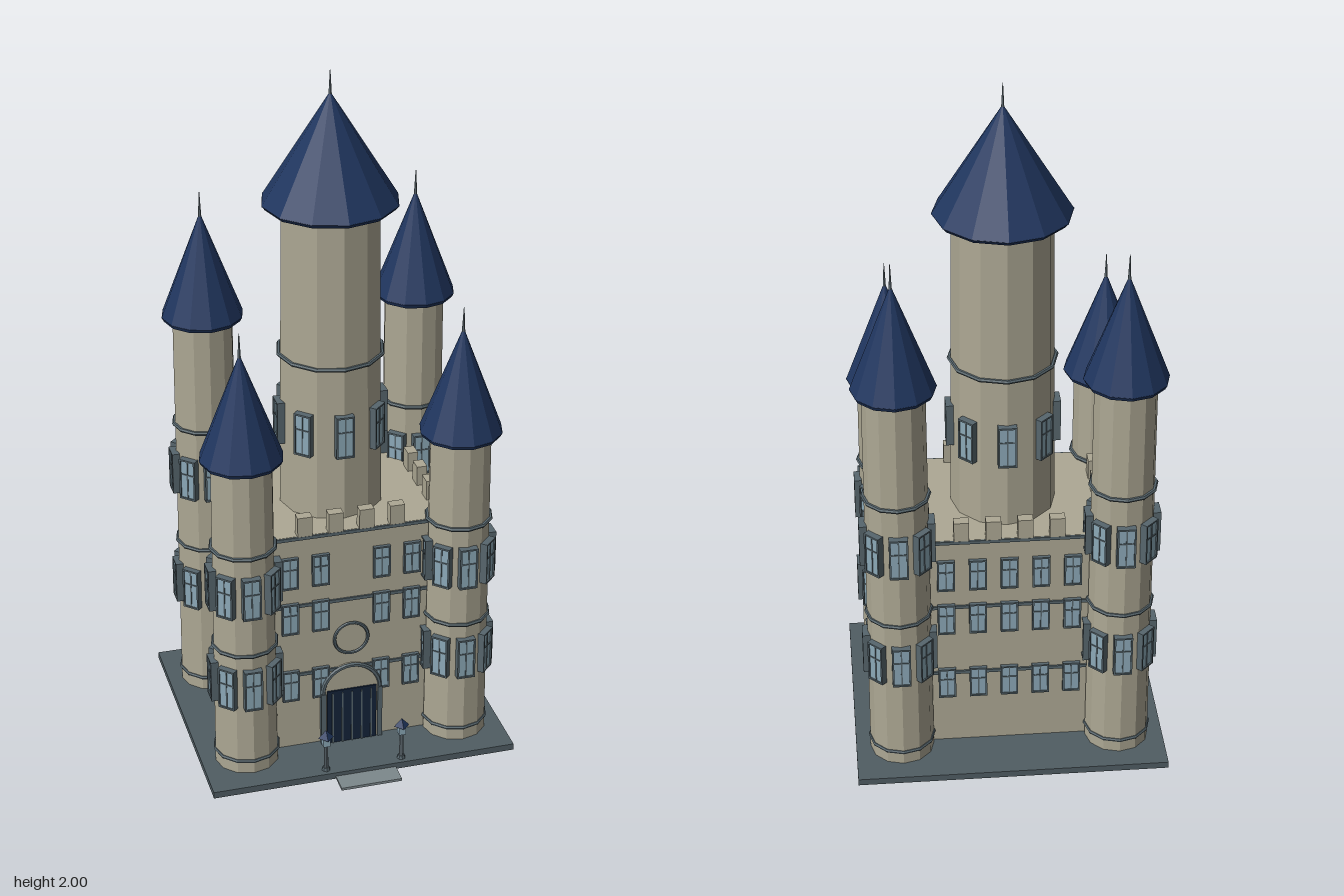
import * as THREE from 'three';

const mat = (color, flatShading = true) => new THREE.MeshStandardMaterial({ color, flatShading });
const STONE = mat(0xada894), ROOF = mat(0x20365f), TRIM = mat(0x57666d), GLASS = mat(0x8ca9b8);
const SLAB = mat(0x505d63), PATH = mat(0x7d888c), DOOR = mat(0x13233a), METAL = mat(0x6b7880);
const SIDES = 12, MID_Z = -0.032;

function add(parent, name, geometry, material, x = 0, y = 0, z = 0) {
  const mesh = new THREE.Mesh(geometry, material);
  mesh.name = name;
  mesh.position.set(x, y, z);
  parent.add(mesh);
  return mesh;
}
const box = (w, h, d) => new THREE.BoxGeometry(w, h, d);

// Framed window with a vertical and a horizontal glazing bar, facing +z
function makeWindow(w, h) {
  const g = new THREE.Group();
  g.name = 'window';
  const t = 0.005;
  add(g, 'glass', box(w - t, h - t, 0.014), GLASS);
  for (const s of [-1, 1]) {
    add(g, 'frameSide', box(t, h, 0.022), TRIM, s * (w - t) / 2);
    add(g, 'frameEnd', box(w, t, 0.022), TRIM, 0, s * (h - t) / 2);
  }
  add(g, 'mullion', box(0.004, h, 0.018), TRIM);
  add(g, 'transom', box(w, 0.004, 0.018), TRIM, 0, h * 0.12);
  return g;
}

function windowRing(parent, y, r) {
  for (let i = 0; i < 8; i++) {
    const a = i * Math.PI / 4, win = makeWindow(0.053, 0.128);
    win.position.set(Math.sin(a) * r, y, Math.cos(a) * r);
    win.rotation.y = a;
    parent.add(win);
  }
}

function band(parent, y, r) {
  const ring = add(parent, 'band', new THREE.TorusGeometry(r, 0.006, 6, SIDES), TRIM, 0, y, 0);
  ring.rotation.x = Math.PI / 2;
}

// Conical roof with thin eave and a finial spike
function roof(parent, y, r, h) {
  add(parent, 'roof', new THREE.ConeGeometry(r, h, SIDES), ROOF, 0, y + h / 2, 0);
  add(parent, 'eave', new THREE.CylinderGeometry(r, r * 0.95, 0.012, SIDES), ROOF, 0, y - 0.005, 0);
  add(parent, 'finial', new THREE.CylinderGeometry(0.001, 0.005, 0.075, 6), METAL, 0, y + h + 0.0225, 0);
}

function cornerTower(x, z, top) {
  const g = new THREE.Group();
  g.name = 'cornerTower';
  g.position.set(x, 0, z);
  const h = top - 0.02;
  add(g, 'shaft', new THREE.CylinderGeometry(0.087, 0.093, h, SIDES), STONE, 0, 0.02 + h / 2, 0);
  for (const y of [0.06, 0.02 + h * 0.4, 0.02 + h * 0.72]) band(g, y, 0.092);
  for (const f of [0.29, 0.595]) windowRing(g, 0.02 + h * f, 0.095);
  roof(g, top, 0.118, 0.31);
  return g;
}

function keep() {
  const g = new THREE.Group();
  g.name = 'keep';
  const w = 0.55, d = 0.434, zf = d / 2;
  g.position.z = MID_Z;
  add(g, 'walls', box(w, 0.70, d), STONE, 0, 0.37, 0);
  for (const y of [0.27, 0.5, 0.72]) add(g, 'stringCourse', box(w + 0.01, 0.01, d + 0.01), TRIM, 0, y - 0.006, 0);

  // Battlements
  for (const s of [-1, 1]) {
    for (const x of [-0.135, -0.045, 0.045, 0.135])
      add(g, 'merlon', box(0.043, 0.06, 0.03), STONE, x, 0.75, s * 0.208);
    for (const z of [-0.09, 0, 0.09])
      add(g, 'merlon', box(0.03, 0.06, 0.043), STONE, s * 0.27, 0.75, z);
  }

  // Three storeys of windows; the middle of the front is left for the portal
  for (const y of [0.23, 0.455, 0.605])
    for (let i = -2; i <= 2; i++)
      for (const s of [-1, 1]) {
        if (s > 0 && i === 0) continue;
        const win = makeWindow(0.05, 0.1);
        win.position.set(i * 0.09, y, s * zf);
        win.rotation.y = s > 0 ? 0 : Math.PI;
        g.add(win);
      }

  // Arched portal with barred door
  const arch = new THREE.Shape();
  arch.moveTo(-0.088, 0.02);
  arch.lineTo(0.088, 0.02);
  arch.lineTo(0.088, 0.19);
  arch.absarc(0, 0.19, 0.088, 0, Math.PI, false);
  add(g, 'portal', new THREE.ExtrudeGeometry(arch, { depth: 0.012, bevelEnabled: false, curveSegments: 10 }), STONE, 0, 0, zf);
  add(g, 'archMoulding', new THREE.TorusGeometry(0.085, 0.007, 6, 16, Math.PI), TRIM, 0, 0.19, zf + 0.01);
  for (const s of [-1, 1]) add(g, 'jamb', box(0.014, 0.17, 0.016), TRIM, s * 0.085, 0.105, zf + 0.01);
  add(g, 'door', box(0.148, 0.178, 0.014), DOOR, 0, 0.109, zf + 0.01);
  for (let i = -2; i <= 2; i++) add(g, 'doorBar', box(0.004, 0.17, 0.006), TRIM, i * 0.029, 0.105, zf + 0.017);

  // Plain round ornament above the portal
  add(g, 'roundOrnament', new THREE.TorusGeometry(0.05, 0.005, 6, 24), TRIM, 0, 0.365, zf + 0.006);
  return g;
}

function mainTower() {
  const g = new THREE.Group();
  g.name = 'mainTower';
  g.position.z = MID_Z;
  add(g, 'shaft', new THREE.CylinderGeometry(0.14, 0.15, 0.91, SIDES), STONE, 0, 1.175, 0);
  band(g, 1.185, 0.15);
  windowRing(g, 0.98, 0.151);
  roof(g, 1.63, 0.193, 0.31);
  return g;
}

function lamp(x) {
  const g = new THREE.Group();
  g.name = 'lamp';
  g.position.set(x, 0, 0.327);
  add(g, 'foot', new THREE.CylinderGeometry(0.01, 0.013, 0.012, 8), TRIM, 0, 0.024, 0);
  add(g, 'post', new THREE.CylinderGeometry(0.006, 0.007, 0.09, 8), METAL, 0, 0.065, 0);
  add(g, 'lantern', box(0.02, 0.028, 0.02), GLASS, 0, 0.118, 0);
  add(g, 'lampCap', new THREE.ConeGeometry(0.023, 0.025, 4), ROOF, 0, 0.143, 0);
  return g;
}

export function createModel() {
  const root = new THREE.Group();
  root.name = 'castle';
  add(root, 'baseSlab', box(0.9, 0.02, 0.765), SLAB, 0, 0.01, -0.0315);
  add(root, 'entrancePath', box(0.18, 0.008, 0.07), PATH, 0, 0.004, 0.377);
  root.add(keep(), mainTower());
  for (const s of [-1, 1])
    root.add(cornerTower(s * 0.315, 0.194, 1.0), cornerTower(s * 0.315, -0.258, 1.23), lamp(s * 0.113));
  return root;
}
